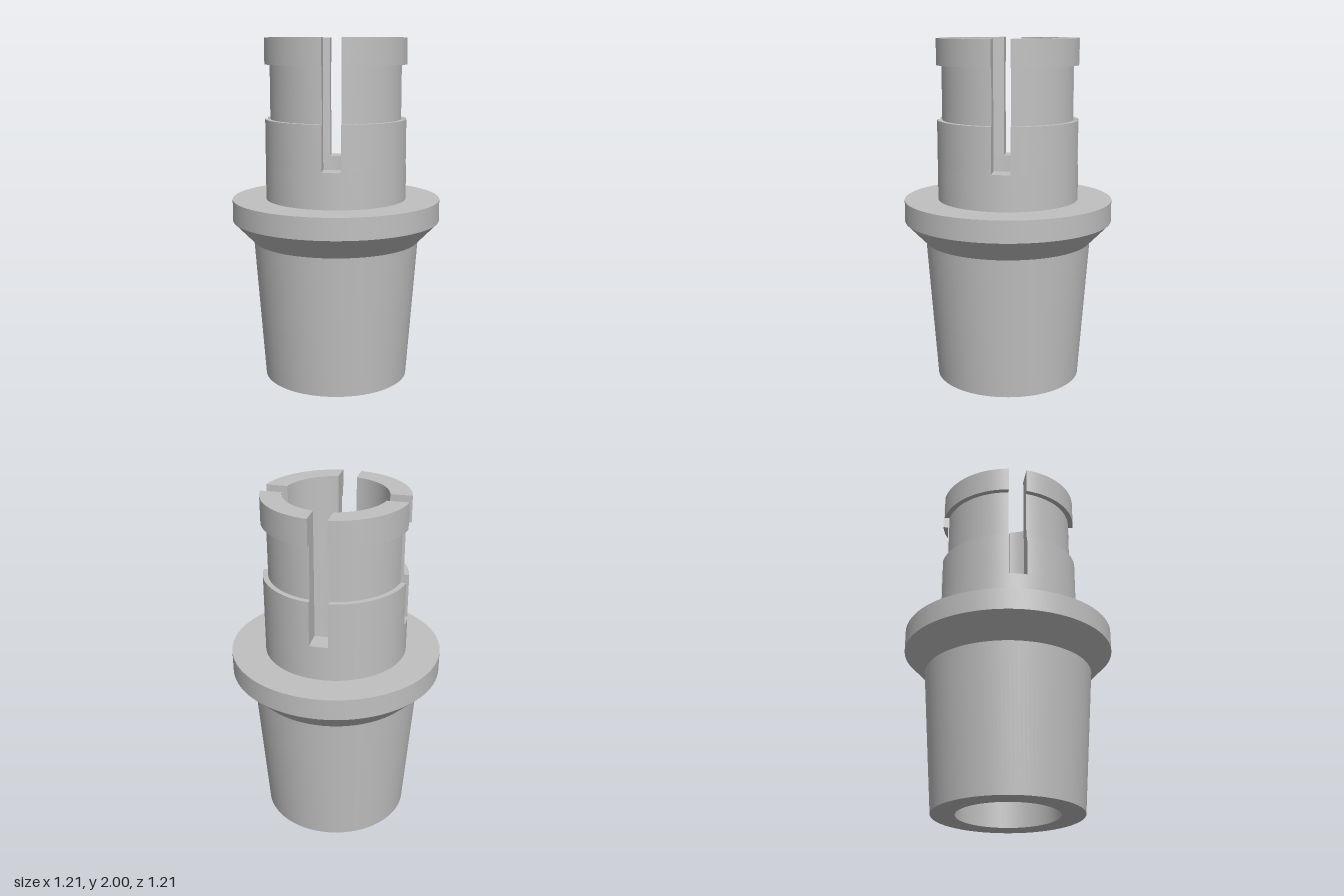
import * as THREE from 'three';
import { toCreasedNormals } from 'three/addons/utils/BufferGeometryUtils.js';

const BORE = 0.29, COLLAR = 0.41, NECK = 0.38, SLOT_Y = 1.28, HALF_SLOT = 0.053;
const QUARTER = Math.PI / 4;

const vectors = (points) => points.map(([r, y]) => new THREE.Vector2(r, y));

// Quarter lathe whose angular spread depends on radius, so slot sides stay parallel
function sector(profile, segments, spread) {
  const geo = new THREE.LatheGeometry(vectors(profile), segments, -QUARTER, 2 * QUARTER);
  const p = geo.attributes.position;
  for (let i = 0; i < p.count; i++) {
    const r = Math.hypot(p.getX(i), p.getZ(i));
    const a = Math.atan2(p.getX(i), p.getZ(i)) * spread(Math.asin(HALF_SLOT / r) / QUARTER);
    p.setXYZ(i, r * Math.sin(a), p.getY(i), r * Math.cos(a));
  }
  return toCreasedNormals(geo, 0.5);
}

export function createModel() {
  const model = new THREE.Group();
  const grey = new THREE.MeshStandardMaterial({ color: 0xc0c0c0 });
  grey.name = 'light grey';

  const add = (name, geo, angle = 0) => {
    const mesh = new THREE.Mesh(geo, grey);
    mesh.name = name;
    mesh.rotation.y = angle;
    model.add(mesh);
  };

  // Tapered plug, flange and lower collar with a through bore
  const body = new THREE.LatheGeometry(vectors([
    [BORE, SLOT_Y], [BORE, 0], [0.425, 0], [0.485, 0.825], [0.607, 0.95],
    [0.607, 1.075], [COLLAR, 1.075], [COLLAR, SLOT_Y],
  ]), 128);
  add('taperedBody', toCreasedNormals(body, 0.5));

  // Spring prongs with a recessed neck
  const prongProfile = [
    [COLLAR, SLOT_Y], [COLLAR, 1.54], [NECK, 1.54], [NECK, 1.85],
    [COLLAR, 1.85], [COLLAR, 2], [BORE, 2], [BORE, SLOT_Y],
  ];
  const prong = sector(prongProfile, 32, (s) => 1 - s);
  const floor = sector([[COLLAR, SLOT_Y], [BORE, SLOT_Y]], 6, (s) => s);

  // Flat slot side, cut parallel to the slot's centre plane
  const wall = (side) => {
    const outline = prongProfile.map(([r, y]) =>
      [side * Math.sqrt(r * r - HALF_SLOT * HALF_SLOT), y]);
    const geo = new THREE.ShapeGeometry(new THREE.Shape(vectors(outline)));
    geo.translate(0, 0, -HALF_SLOT);
    if (side < 0) geo.rotateY(Math.PI);
    return geo.rotateY(-Math.PI / 2);
  };
  const walls = [wall(1), wall(-1)];

  for (let i = 0; i < 4; i++) {
    const angle = i * Math.PI / 2;
    add('prong', prong, angle);
    add('slotFloor', floor, angle + QUARTER);
    for (const side of walls) add('slotWall', side, angle + QUARTER);
  }
  return model;
}
